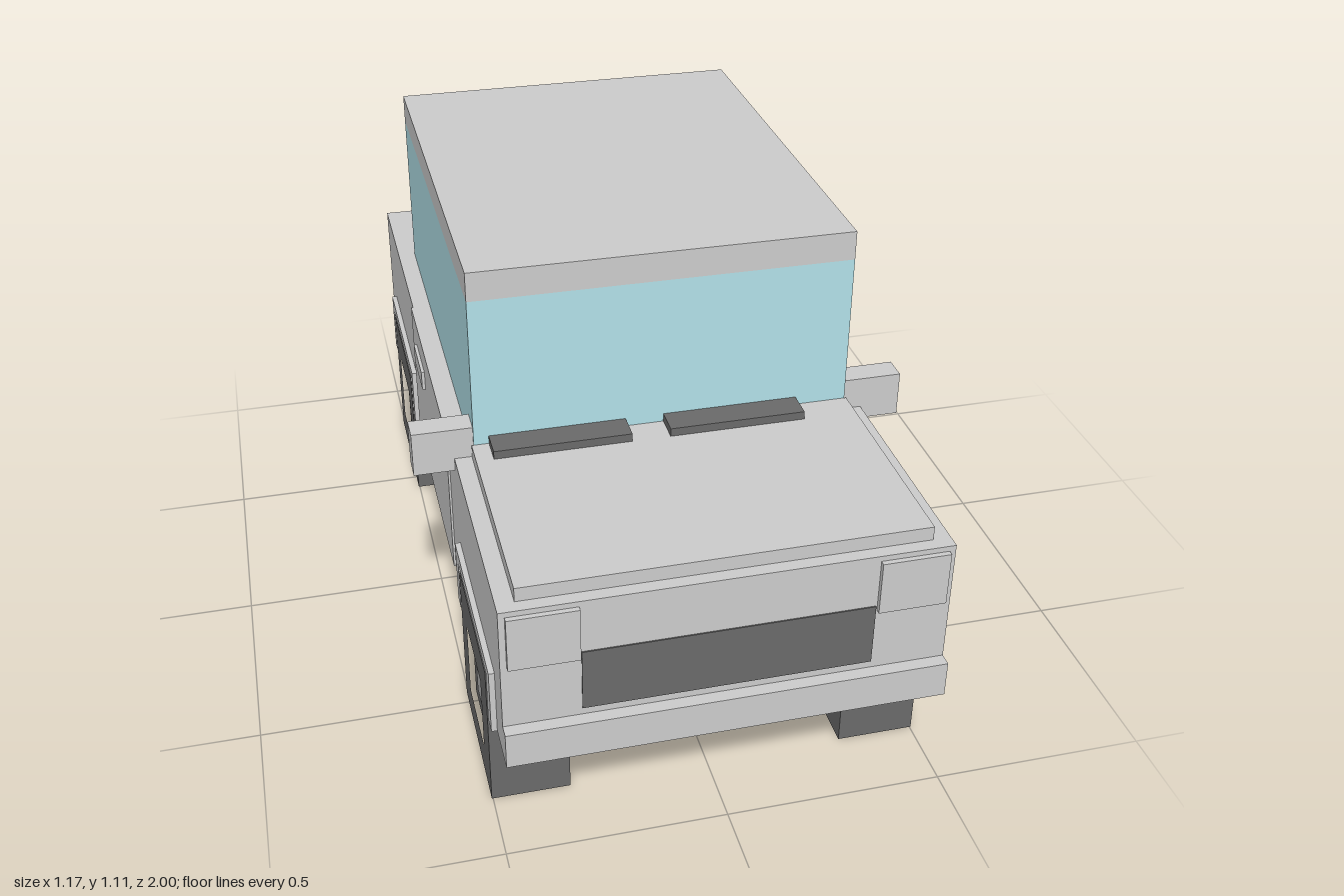
import * as THREE from 'three';

const mat = (color) => new THREE.MeshStandardMaterial({ color, flatShading: true });

export function createModel() {
  const car = new THREE.Group();
  car.name = 'boxyCar';
  const grey = mat(0xcccccc), dark = mat(0x6a6a6a), hubGrey = mat(0xb2b2b2);
  const glass = mat(0xb2e0e8), red = mat(0xb95757);

  const add = (name, geometry, material = grey) => {
    const mesh = new THREE.Mesh(geometry, material);
    mesh.name = name;
    car.add(mesh);
    return mesh;
  };
  // box given by its limits on each axis
  const box = (name, x0, x1, y0, y1, z0, z1, material) =>
    add(name, new THREE.BoxGeometry(x1 - x0, y1 - y0, z1 - z0), material)
      .position.set((x0 + x1) / 2, (y0 + y1) / 2, (z0 + z1) / 2);
  const shapeOf = (pts) => new THREE.Shape(pts.map(([a, b]) => new THREE.Vector2(a, b)));
  const rect = (a0, a1, b0, b1) => [[a0, b0], [a1, b0], [a1, b1], [a0, b1]];
  const extrude = (pts, depth, hole) => {
    const shape = shapeOf(pts);
    if (hole) shape.holes.push(shapeOf(hole));
    return new THREE.ExtrudeGeometry(shape, { depth, bevelEnabled: false });
  };
  // outline in (z, y), extruded from x0 to x1
  const side = (name, pts, x0, x1, material, hole) => {
    const flip = (list) => list.map(([z, y]) => [-z, y]);
    const g = extrude(flip(pts), x1 - x0, hole && flip(hole));
    add(name, g.rotateY(Math.PI / 2).translate(x0, 0, 0), material);
  };
  // outline in (x, y), extruded from z0 to z1
  const across = (name, pts, z0, z1, material, hole) =>
    add(name, extrude(pts, z1 - z0, hole).translate(0, 0, z0), material);

  // lower body with wheel wells running right across
  const base = 0.25, top = 0.635, wellTop = 0.38;
  side('body', [
    [0.97, base], [0.97, top], [-0.95, top], [-0.95, base],
    [-0.826, base], [-0.826, wellTop], [-0.435, wellTop], [-0.435, base],
    [0.45, base], [0.45, wellTop], [0.843, wellTop], [0.843, base],
  ], -0.49, 0.49);

  // tailgate skin with a shallow notch along its top edge
  across('tailgate', [
    [-0.49, base], [0.49, base], [0.49, top], [0.345, top],
    [0.345, 0.58], [-0.365, 0.58], [-0.365, top], [-0.49, top],
  ], -0.97, -0.95);

  // cabin
  box('windows', -0.445, 0.445, top, 1.035, -0.68, 0.4, glass);
  box('roof', -0.445, 0.445, 1.035, 1.105, -0.68, 0.4);
  box('hood', -0.45, 0.45, top, 0.668, 0.4, 0.94);

  // bumpers, the rear one cut out around the tow hitch
  box('frontBumper', -0.49, 0.49, base, 0.337, 0.97, 1);
  across('rearBumper', [
    [-0.49, base], [0.155, base], [0.155, 0.31], [0.275, 0.31],
    [0.275, base], [0.49, base], [0.49, 0.337], [-0.49, 0.337],
  ], -1, -0.97);
  across('towHitch', rect(0.172, 0.258, 0.21, 0.296), -0.98, -0.83, grey,
    rect(0.192, 0.238, 0.23, 0.276));
  box('hitchSocket', 0.192, 0.238, 0.23, 0.276, -0.972, -0.84, dark);

  // front and rear details
  box('grille', -0.32, 0.32, 0.355, 0.505, 0.96, 0.973, dark);
  box('wiper', -0.41, -0.09, 0.667, 0.688, 0.4, 0.468, dark);
  box('wiper', 0, 0.322, 0.667, 0.688, 0.4, 0.468, dark);
  box('rearWiper', -0.105, 0.36, top, 0.66, -0.765, -0.68, dark);

  for (const s of [-1, 1]) {
    // sorted limits of a part mirrored to side s
    const mx = (a, b) => (s > 0 ? [a, b] : [-b, -a]);

    box('headlight', ...mx(0.323, 0.476), 0.493, 0.622, 0.96, 0.982);
    box('tailLight', ...mx(0.22, 0.445), 0.39, 0.54, -0.978, -0.96, red);
    box('mirror', ...mx(0.445, 0.585), 0.603, 0.712, 0.335, 0.395);
    box('door', ...mx(0.48, 0.495), base, top, -0.358, 0.285);
    box('doorHandle', ...mx(0.49, 0.503), 0.52, 0.57, -0.27, -0.12);

    for (const [zBack, zFront, wheelBack, wheelFront] of
      [[0.41, 0.885, 0.463, 0.83], [-0.863, -0.395, -0.812, -0.447]]) {
      // raised frame around each wheel opening
      const inB = zBack + 0.04, inF = zFront - 0.04;
      side('archTrim', [
        [zBack, base], [zBack, 0.41], [zFront, 0.41], [zFront, base],
        [inF, base], [inF, wellTop], [inB, wellTop], [inB, base],
      ], ...mx(0.485, 0.503));

      // square wheel with a recessed hub
      const zc = (wheelBack + wheelFront) / 2, h = 0.097;
      side('tyre', rect(wheelBack, wheelFront, 0, 0.368), ...mx(0.48, 0.503), dark,
        rect(zc - h, zc + h, 0.08, 0.272));
      box('wheelBlock', ...mx(0.322, 0.48), 0, 0.368, wheelBack, wheelFront, dark);
      box('hub', ...mx(0.47, 0.486), 0.08, 0.272, zc - h, zc + h, hubGrey);
    }
  }
  return car;
}
